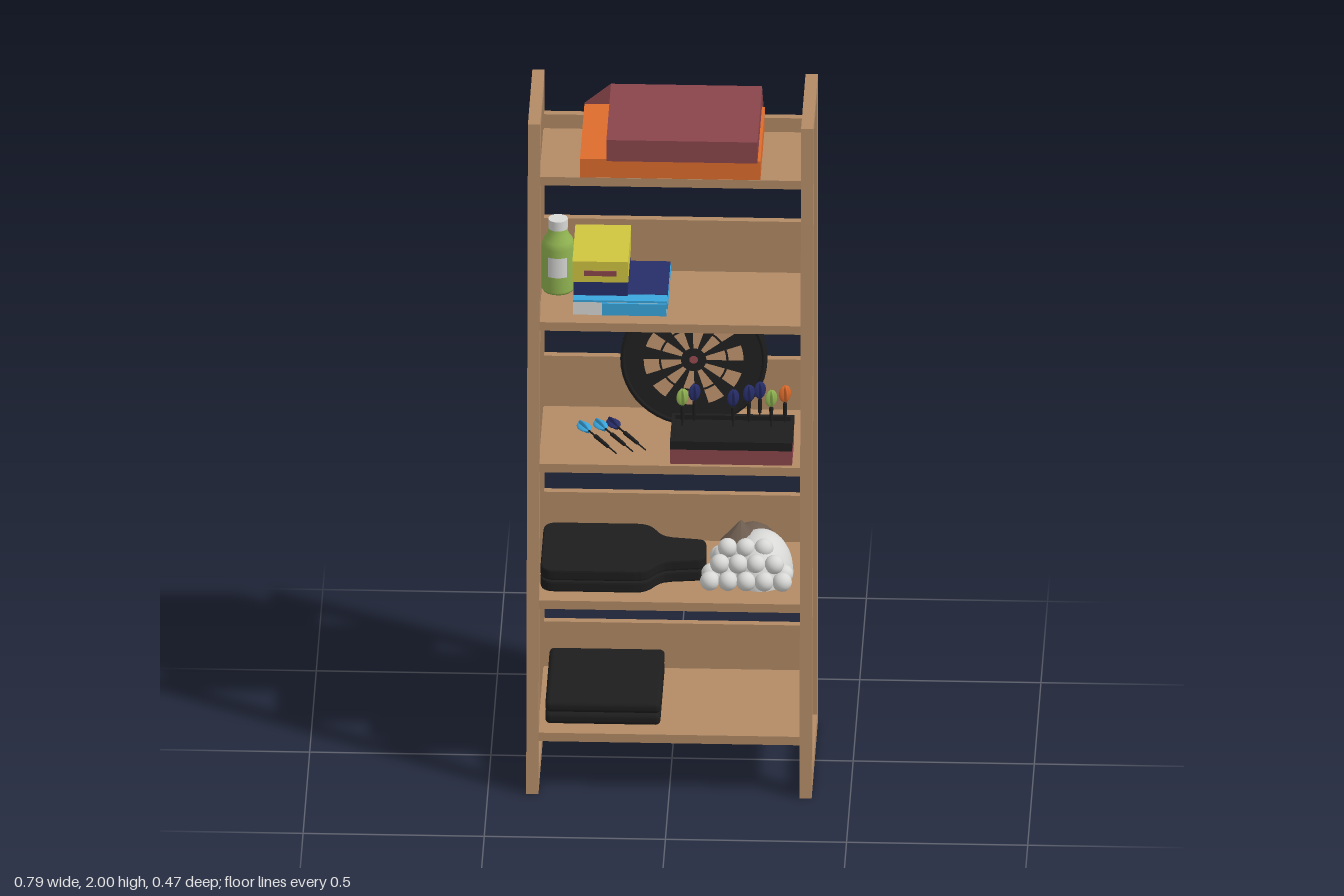
import * as THREE from 'three';
import { RoundedBoxGeometry } from 'three/addons/geometries/RoundedBoxGeometry.js';

const mat = (name, color) => {
  const m = new THREE.MeshStandardMaterial({ color });
  m.name = name;
  return m;
};

export function createModel() {
  const root = new THREE.Group();
  root.name = 'shelfUnit';
  const wood = mat('wood', 0xb38b66), black = mat('black', 0x1d1d1d), red = mat('darkRed', 0x8a454b),
    orange = mat('orange', 0xde6c2c), yellow = mat('yellow', 0xcfc540), navy = mat('navy', 0x272e6a),
    cyan = mat('skyBlue', 0x3aa6dd), green = mat('green', 0x92b552), white = mat('offWhite', 0xd8d8d6),
    mesh = mat('netBrown', 0x6e5d50);

  const add = (name, geo, material, parent = root) => {
    const m = new THREE.Mesh(geo, material);
    m.name = name;
    parent.add(m);
    return m;
  };
  // Box given by its extents on each axis
  const box = (name, material, x0, x1, y0, y1, z0, z1, parent = root) => {
    const m = add(name, new THREE.BoxGeometry(x1 - x0, y1 - y0, z1 - z0), material, parent);
    m.position.set((x0 + x1) / 2, (y0 + y1) / 2, (z0 + z1) / 2);
    return m;
  };
  const group = (name) => {
    const g = new THREE.Group();
    g.name = name;
    root.add(g);
    return g;
  };
  const poly = (pts) => pts.map((p) => new THREE.Vector2(p[0], p[1]));

  // Side frames: tapered loops
  const side = new THREE.Shape(poly([[-0.235, 0], [0.235, 0], [0.103, 2], [-0.235, 2]]));
  side.holes.push(new THREE.Path(poly([[-0.182, 0.05], [-0.182, 1.97], [0.058, 1.97], [0.182, 0.05]])));
  const sideGeo = new THREE.ExtrudeGeometry(side, { depth: 0.034, bevelEnabled: false }).rotateY(-Math.PI / 2);
  add('leftFrame', sideGeo, wood).position.x = 0.394;
  add('rightFrame', sideGeo, wood).position.x = -0.36;

  // Shelves with back boards, shallower towards the top
  [[0.182, 0.32], [0.577, 0.72], [0.985, 1.14], [1.408, 1.565], [1.842, 1.885]].forEach(([top, boardTop]) => {
    box('shelf', wood, -0.362, 0.362, top - 0.026, top, -0.21, 0.232 - 0.0665 * top);
    box('backBoard', wood, -0.362, 0.362, top - 0.026, boardTop, -0.212, -0.19);
  });

  // Top shelf: orange box with a red lid set to one side
  const topBox = group('storageBox');
  box('boxBase', orange, -0.25, 0.248, 1.843, 1.9, -0.228, 0.11, topBox);
  box('boxLid', red, -0.177, 0.24, 1.895, 1.96, -0.23, 0.112, topBox);
  const flap = new THREE.Shape(poly([[-0.25, 1.845], [0.248, 1.845], [0.24, 1.96], [-0.177, 1.96], [-0.25, 1.9]]));
  add('lidFlap', new THREE.ExtrudeGeometry(flap, { depth: 0.006, bevelEnabled: false }), red, topBox).position.z = -0.235;

  // Bottle
  const bottle = group('bottle');
  bottle.position.set(-0.317, 1.408, -0.07);
  add('bottleBody', new THREE.LatheGeometry(poly([[0, 0], [0.042, 0], [0.046, 0.008], [0.046, 0.135],
    [0.041, 0.155], [0.029, 0.172], [0.025, 0.195]]), 28), green, bottle);
  add('bottleCap', new THREE.CylinderGeometry(0.027, 0.027, 0.028, 24), white, bottle).position.y = 0.203;
  const label = add('bottleLabel', new THREE.CylinderGeometry(0.047, 0.047, 0.06, 16, 1, true, -0.6, 1.2), white, bottle);
  label.position.y = 0.085;

  // Stack of game boxes
  const stack = group('gameBoxes');
  box('whiteBox', white, -0.27, -0.012, 1.408, 1.448, -0.155, 0.088, stack);
  box('blueFront', cyan, -0.19, -0.012, 1.41, 1.446, 0.088, 0.094, stack);
  box('blueSide', cyan, -0.012, -0.008, 1.43, 1.448, -0.155, 0.09, stack);
  box('navyCover', navy, -0.2, -0.01, 1.448, 1.455, -0.155, 0.05, stack);
  box('blueCover', cyan, -0.27, -0.01, 1.448, 1.454, 0.05, 0.09, stack);
  box('navyBox', navy, -0.27, -0.12, 1.455, 1.512, -0.14, 0.062, stack);
  box('yellowBox', yellow, -0.272, -0.118, 1.505, 1.568, -0.148, 0.08, stack);
  box('yellowBoxStripe', red, -0.24, -0.15, 1.525, 1.54, 0.08, 0.083, stack);

  // Leaning dartboard with wedges on both faces
  const board = group('dartboard');
  board.position.set(0.055, 1.16, -0.15);
  board.rotation.x = -0.21;
  board.scale.y = 0.93;
  add('boardDisc', new THREE.CylinderGeometry(0.203, 0.203, 0.034, 48).rotateX(Math.PI / 2), black, board);
  for (const s of [-1, 1]) {
    for (let i = 0; i < 10; i++) {
      const a = (i / 10) * Math.PI * 2;
      for (const [r0, r1] of [[0.035, 0.09], [0.096, 0.138]]) {
        const w = add('boardWedge', new THREE.RingGeometry(r0, r1, 4, 1, a, Math.PI / 10 * 1.1), wood, board);
        if (s < 0) w.rotation.y = Math.PI;
        w.position.z = s * 0.0185;
      }
    }
    const rim = add('boardWire', new THREE.TorusGeometry(0.195, 0.006, 6, 48), black, board);
    rim.position.z = s * 0.017;
  }
  add('bullseye', new THREE.CircleGeometry(0.012, 16), red, board).position.z = 0.0185;

  // Dart rack
  const rack = group('dartRack');
  box('rackBase', red, 0, 0.337, 0.985, 1.032, -0.01, 0.153, rack);
  box('rackTray', black, 0.002, 0.335, 1.03, 1.042, -0.02, 0.15, rack);
  box('rackFrontRim', black, 0, 0.337, 1.03, 1.055, 0.142, 0.155, rack);
  box('rackBackRim', black, 0, 0.337, 1.03, 1.055, -0.02, -0.008, rack);
  for (const x of [0, 0.327]) box('rackEndRim', black, x, x + 0.01, 1.03, 1.055, -0.02, 0.155, rack);
  box('rackCard', white, 0.2, 0.335, 0.985, 1.025, -0.065, -0.01, rack);

  // Darts: needle, barrel and crossed flights
  const dart = (material, from, to) => {
    const g = group('dart'), a = new THREE.Vector3(...from), d = new THREE.Vector3(...to).sub(a), L = d.length();
    g.position.copy(a);
    g.quaternion.setFromUnitVectors(new THREE.Vector3(0, 1, 0), d.normalize());
    add('dartShaft', new THREE.CylinderGeometry(0.003, 0.002, L, 8), black, g).position.y = L / 2;
    add('dartBarrel', new THREE.CylinderGeometry(0.006, 0.005, L * 0.35, 10), black, g).position.y = L * 0.4;
    for (const r of [0, Math.PI / 2]) {
      const f = add('dartFlight', new THREE.SphereGeometry(1, 12, 8), material, g);
      f.scale.set(0.018, 0.026, 0.006);
      f.rotation.y = r + 0.4;
      f.position.y = L - 0.02;
    }
  };
  [[0.03, 0.03, green], [0.062, 0.0, navy], [0.17, 0.03, navy], [0.212, 0.0, navy], [0.242, -0.02, navy],
    [0.275, 0.03, green], [0.312, 0.0, orange]].forEach(([x, z, m]) => dart(m, [x, 1.035, z], [x, 1.15, z]));
  [[0, cyan], [0.045, cyan], [0.08, navy]].forEach(([o, m]) =>
    dart(m, [-0.15 + o, 0.993, 0.11 - o * 0.3], [-0.255 + o, 1.008, -0.04 - o * 0.3]));

  // Instrument case: wide body, tapered neck, two halves
  const outline = new THREE.Shape();
  outline.moveTo(-0.32, 0.15);
  outline.lineTo(-0.1, 0.15);
  outline.bezierCurveTo(-0.04, 0.15, -0.06, 0.08, 0, 0.07);
  outline.lineTo(0.075, 0.06);
  outline.quadraticCurveTo(0.09, 0.055, 0.09, 0.03);
  outline.lineTo(0.09, -0.03);
  outline.quadraticCurveTo(0.09, -0.055, 0.075, -0.06);
  outline.lineTo(0, -0.07);
  outline.bezierCurveTo(-0.06, -0.08, -0.04, -0.14, -0.1, -0.14);
  outline.lineTo(-0.32, -0.14);
  outline.quadraticCurveTo(-0.355, -0.14, -0.355, -0.1);
  outline.lineTo(-0.355, 0.11);
  outline.quadraticCurveTo(-0.355, 0.15, -0.32, 0.15);
  const half = new THREE.ExtrudeGeometry(outline, { depth: 0.02, bevelSize: 0.004, bevelThickness: 0.006,
    bevelSegments: 2, curveSegments: 8 }).rotateX(-Math.PI / 2);
  for (const y of [0.585, 0.62]) add('instrumentCaseHalf', half, black).position.y = y;

  // Bag of balls: smooth sack, net top and balls spilling in front
  const bag = group('ballBag');
  const sack = add('sack', new THREE.SphereGeometry(1, 24, 12, 0, Math.PI * 2, 0, Math.PI / 2), white, bag);
  sack.scale.set(0.09, 0.118, 0.125);
  sack.position.set(0.245, 0.577, -0.005);
  const net = add('netTop', new THREE.ConeGeometry(0.06, 0.07, 7), mesh, bag);
  net.position.set(0.19, 0.69, -0.03);
  const netBack = add('netBack', new THREE.SphereGeometry(1, 12, 6, 0, Math.PI * 2, 0, Math.PI / 2), mesh, bag);
  netBack.scale.set(0.085, 0.11, 0.07);
  netBack.position.set(0.22, 0.577, -0.085);
  const ball = new THREE.SphereGeometry(0.027, 16, 12);
  [[5, 0.108, 0.604, 0.11], [5, 0.11, 0.604, 0.06], [4, 0.135, 0.645, 0.085], [3, 0.13, 0.604, 0.01],
    [3, 0.155, 0.675, 0.045], [2, 0.14, 0.645, 0.03], [2, 0.13, 0.604, -0.05]].forEach(([n, x, y, z]) => {
    for (let i = 0; i < n; i++) add('ball', ball, white, bag).position.set(x + i * 0.05, y, z);
  });

  // Square case on the bottom shelf
  for (const [y, h] of [[0.2, 0.036], [0.235, 0.034]]) {
    add('squareCaseHalf', new RoundedBoxGeometry(0.318, h, 0.345, 3, 0.014), black).position.set(-0.185, y, -0.002);
  }
  return root;
}
